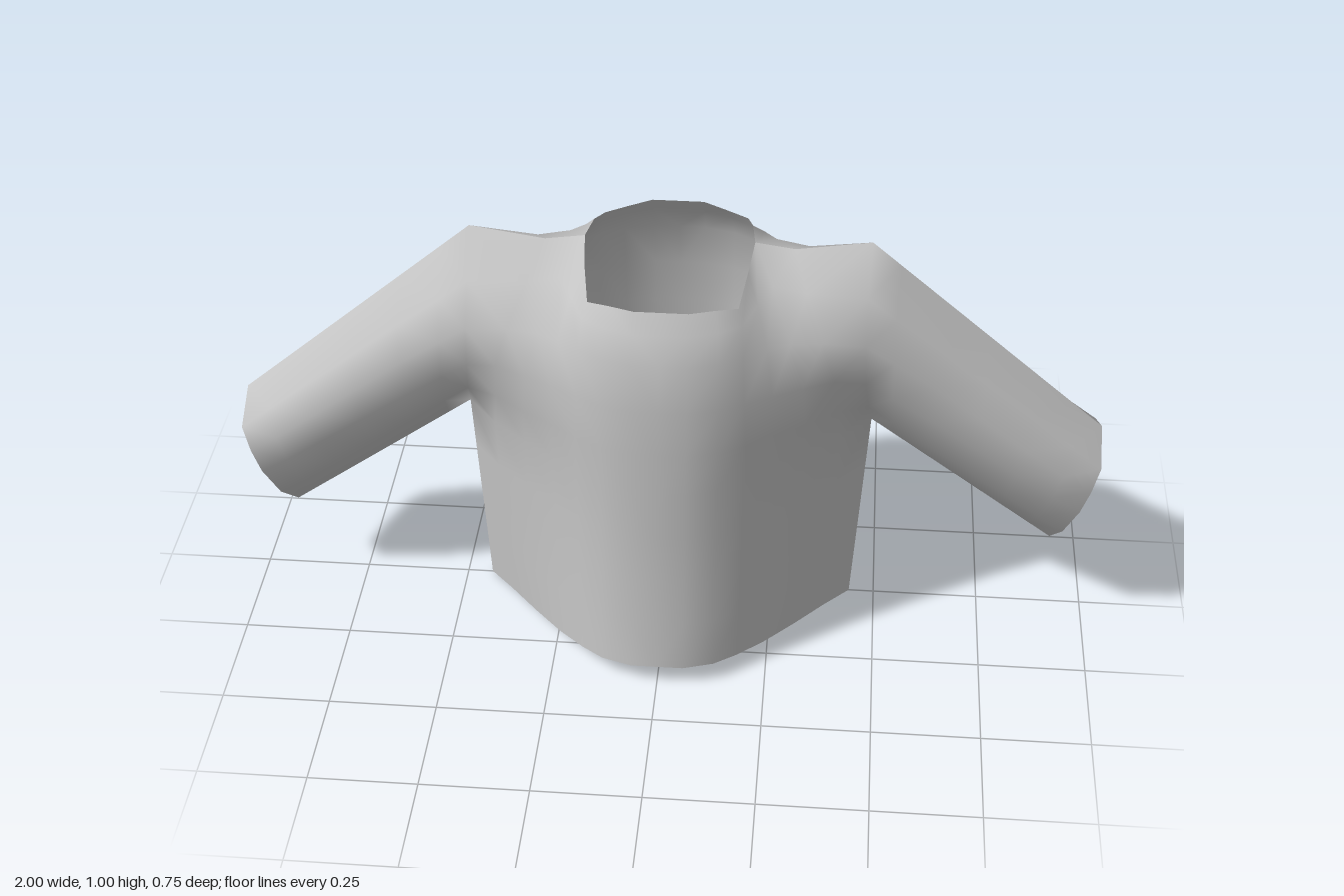
import * as THREE from 'three';
import { mergeVertices } from 'three/addons/utils/BufferGeometryUtils.js';

const lerp = THREE.MathUtils.lerp;

// Chest columns from the centre line to the shoulder: [x, y, z] from armpit height up to neck or shoulder
const chest = [
  [[0, .52, .328], [0, .62, .32], [0, .73, .312], [0, .84, .295], [0, .90, .264], [0, .943, .237]],
  [[.06, .52, .328], [.06, .62, .32], [.06, .73, .312], [.06, .84, .295], [.06, .90, .264], [.06, .943, .237]],
  [[.13, .52, .305], [.13, .62, .30], [.13, .73, .295], [.13, .84, .276], [.125, .90, .242], [.115, .938, .212]],
  [[.19, .52, .265], [.19, .62, .265], [.185, .73, .265], [.18, .84, .245], [.175, .90, .21], [.165, .932, .19]],
  [[.25, .52, .215], [.25, .62, .22], [.245, .73, .23], [.23, .84, .21], [.205, .92, .155], [.18, .968, .10]],
  [[.32, .52, .155], [.32, .62, .175], [.31, .73, .195], [.28, .84, .185], [.235, .935, .10], [.19, .985, 0]],
  [[.40, .52, .085], [.39, .62, .12], [.38, .73, .16], [.35, .835, .167], [.31, .92, .10], [.28, .972, 0]],
  [[.47, .52, 0], [.46, .61, .08], [.45, .71, .132], [.445, .82, .15], [.445, .91, .095], [.45, .998, 0]],
];

// Lower edge, one point for each chest column
const hem = [
  [0, .05, .375], [.06, .05, .375], [.13, .047, .35], [.18, .042, .31],
  [.24, .034, .25], [.31, .023, .165], [.38, .012, .075], [.44, 0, 0],
];

// Sleeve opening, from underside to top
const cuff = [[.91, .2, 0], [.93, .275, .075], [.96, .36, .108], [.98, .42, .11], [.997, .48, .10], [1, .53, 0]];
const sleeveDepth = [0, .08, .12, .125, .095, 0];

// Sleeve columns run from the armhole to the cuff
function sleeveColumns() {
  const armhole = chest[chest.length - 1];
  const columns = [armhole];
  for (const t of [.12, .3, .5, .7, .87]) {
    columns.push(cuff.map((c, j) => [
      lerp(armhole[j][0], c[0], t),
      lerp(armhole[j][1], c[1], t),
      t < .3 ? lerp(armhole[j][2], sleeveDepth[j], t / .3) : sleeveDepth[j],
    ]));
  }
  columns.push(cuff);
  return columns;
}

// Torso columns run from the hem up to armpit height, flaring slightly outwards at the hem
function torsoColumns() {
  return chest.map((column, i) => [0, .25, .5, .75, 1].map((t) => [
    lerp(hem[i][0], column[0][0], t),
    lerp(hem[i][1], column[0][1], t),
    lerp(hem[i][2], column[0][2], 1 - (1 - t) ** 1.4),
  ]));
}

// One panel covers the full width; the seam to the other panel stays sharp
function panel(sz) {
  const positions = [];
  for (const sx of [1, -1]) {
    const triangle = (a, b, c) => {
      for (const p of sx * sz > 0 ? [a, b, c] : [a, c, b]) positions.push(p[0] * sx, p[1], p[2] * sz);
    };
    for (const grid of [torsoColumns(), chest, sleeveColumns()]) {
      for (let i = 0; i < grid.length - 1; i++) {
        for (let j = 0; j < grid[i].length - 1; j++) {
          const a = grid[i][j], b = grid[i + 1][j], c = grid[i + 1][j + 1], d = grid[i][j + 1];
          triangle(a, b, c);
          triangle(a, c, d);
        }
      }
    }
  }
  const soup = new THREE.BufferGeometry();
  soup.setAttribute('position', new THREE.Float32BufferAttribute(positions, 3));
  const geometry = mergeVertices(soup);
  geometry.computeVertexNormals();
  return geometry;
}

export function createModel() {
  const cloth = new THREE.MeshStandardMaterial({ color: 0xc4c4c4, side: THREE.DoubleSide });
  cloth.name = 'greyCloth';

  const shirt = new THREE.Group();
  shirt.name = 'shirt';
  for (const [name, sz] of [['frontPanel', 1], ['backPanel', -1]]) {
    const mesh = new THREE.Mesh(panel(sz), cloth);
    mesh.name = name;
    shirt.add(mesh);
  }
  return shirt;
}
